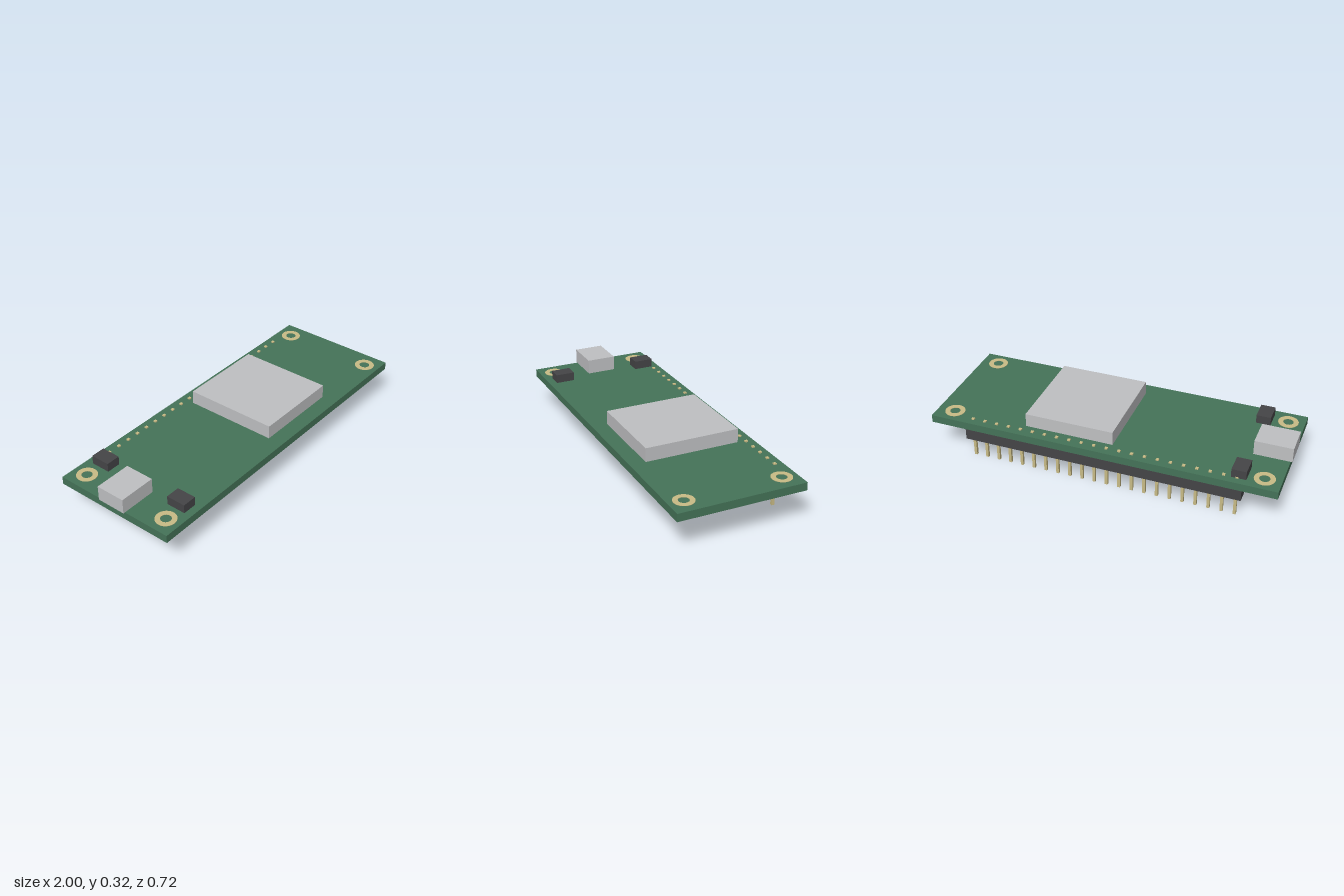
import * as THREE from 'three';

const paint = (name, color) => {
  const m = new THREE.MeshStandardMaterial({ color });
  m.name = name;
  return m;
};

export function createModel() {
  const green = paint('boardGreen', 0x457358);
  const silver = paint('silver', 0xbfc0c2);
  const black = paint('darkPlastic', 0x454547);
  const gold = paint('gold', 0xc8bb85);
  const model = new THREE.Group();
  model.name = 'circuitBoard';

  // Box given by its lower and upper limits on each axis
  const box = (name, material, [x0, x1], [y0, y1], [z0, z1], parent = model) => {
    const mesh = new THREE.Mesh(new THREE.BoxGeometry(x1 - x0, y1 - y0, z1 - z0), material);
    mesh.position.set((x0 + x1) / 2, (y0 + y1) / 2, (z0 + z1) / 2);
    mesh.name = name;
    parent.add(mesh);
  };

  const top = 0.237;
  box('board', green, [-0.99, 1], [0.192, top], [-0.362, 0.362]);
  box('shieldCan', silver, [-0.055, 0.457], [top, 0.316], [-0.272, 0.272]);
  box('usbPort', silver, [-1, -0.787], [top, 0.322], [-0.085, 0.085]);
  box('rightButton', black, [-0.81, -0.728], [top, 0.287], [-0.319, -0.207]);
  box('leftButton', black, [-0.81, -0.728], [top, 0.287], [0.207, 0.319]);

  // Gold pads around the corner mounting points
  const padShape = new THREE.Shape().absarc(0, 0, 0.057, 0, Math.PI * 2);
  padShape.holes.push(new THREE.Path().absarc(0, 0, 0.029, 0, Math.PI * 2, true));
  const padGeometry = new THREE.ExtrudeGeometry(padShape, { depth: 0.002, bevelEnabled: false, curveSegments: 24 });
  padGeometry.rotateX(-Math.PI / 2);
  for (const x of [-0.897, 0.897]) {
    for (const z of [-0.275, 0.275]) {
      const pad = new THREE.Mesh(padGeometry, gold);
      pad.position.set(x, top, z);
      pad.name = 'mountingPad';
      model.add(pad);
    }
  }

  // Pin header along the back edge, pins passing through the board
  const header = new THREE.Group();
  header.name = 'pinHeader';
  model.add(header);
  box('headerStrip', black, [-0.797, 0.797], [0.12, 0.192], [-0.352, -0.281], header);
  const count = 22, r = 0.008;
  for (let i = 0; i < count; i++) {
    const x = -0.762 + (i * 1.524) / (count - 1);
    box('pin', gold, [x - r, x + r], [0, 0.244], [-0.316 - r, -0.316 + r], header);
  }
  return model;
}
